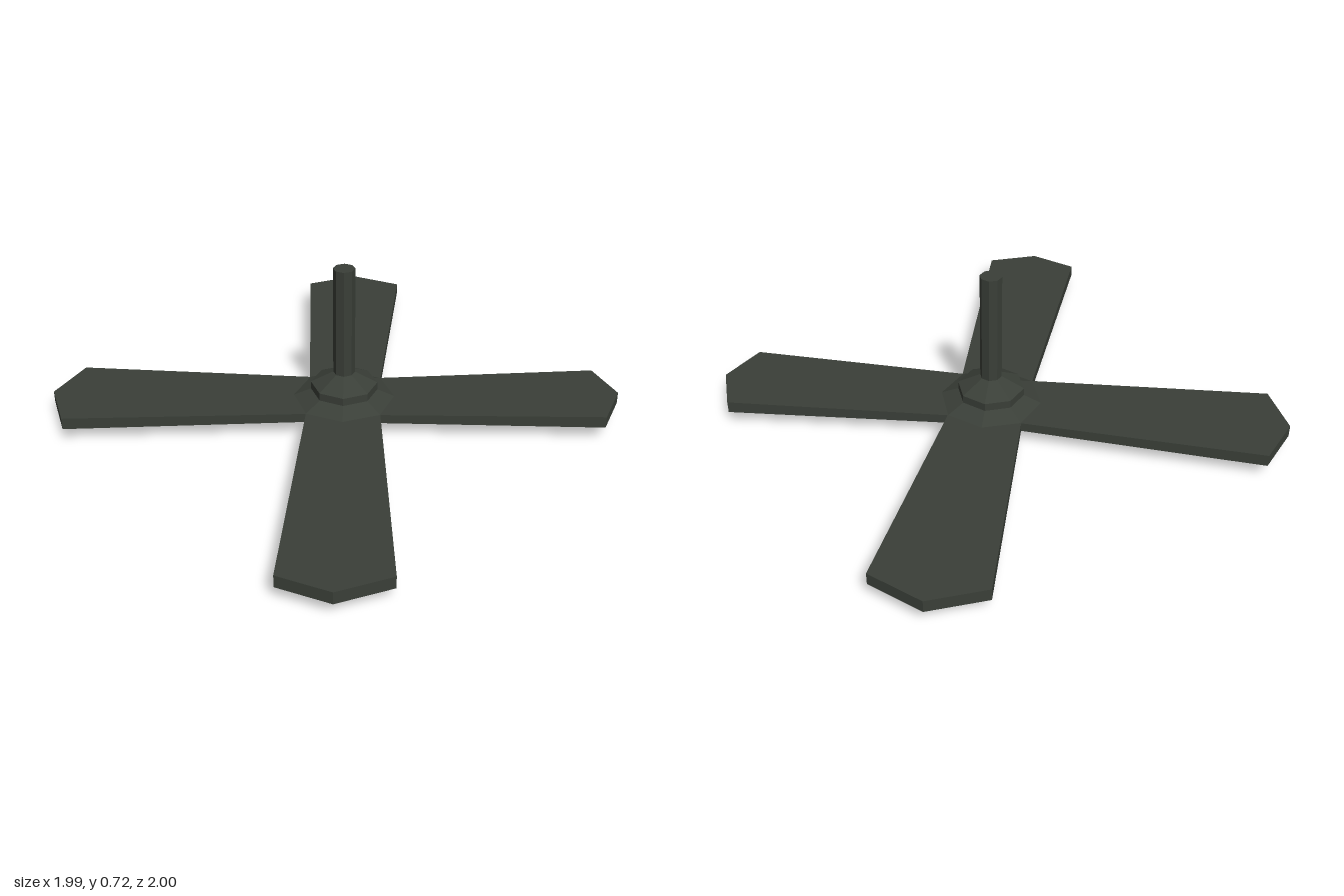
import * as THREE from 'three';

const SIDES = 8;
const CX = 0.01, CZ = -0.017; // hub axis
const HUB_R = 0.225;

const material = new THREE.MeshStandardMaterial({ color: 0x3a3f38, flatShading: true });

// Faceted turned part, profile listed from bottom to top as [radius, y]
function turned(name, profile) {
  const points = profile.map(([r, y]) => new THREE.Vector2(r, y));
  const mesh = new THREE.Mesh(new THREE.LatheGeometry(points, SIDES), material);
  mesh.name = name;
  mesh.position.set(CX, 0, CZ);
  return mesh;
}

// Flat blade that widens and thickens towards a three-cornered tip
function blade(name, rootA, tip, rootB) {
  const outline = [[CX, CZ], rootA, ...tip, rootB].map(([x, z]) => new THREE.Vector2(x, z));
  const geometry = new THREE.ExtrudeGeometry(new THREE.Shape(outline), { depth: 1, bevelEnabled: false });
  geometry.rotateX(Math.PI / 2);
  const pos = geometry.attributes.position;
  for (let i = 0; i < pos.count; i++) {
    const atRoot = Math.hypot(pos.getX(i), pos.getZ(i)) < 0.3;
    const half = atRoot ? 0.02 : 0.026;
    pos.setY(i, 0.089 + (pos.getY(i) > -0.5 ? half : -half));
  }
  geometry.computeVertexNormals();
  const mesh = new THREE.Mesh(geometry, material);
  mesh.name = name;
  return mesh;
}

export function createModel() {
  const fan = new THREE.Group();
  fan.name = 'ceilingFan';

  // Motor housing, collar and hanging rod
  fan.add(turned('motorHousing', [[0, 0], [0.085, 0], [0.185, 0.035], [HUB_R, 0.07], [HUB_R, 0.108], [0.145, 0.143], [0, 0.143]]));
  fan.add(turned('collar', [[0, 0.142], [0.145, 0.142], [0.145, 0.178], [0.047, 0.23], [0, 0.23]]));
  fan.add(turned('hangingRod', [[0.047, 0.2], [0.047, 0.72], [0, 0.72]]));

  // Blade roots meet at the four corners of the housing
  const back = [CX, CZ - HUB_R], left = [CX + HUB_R, CZ], front = [CX, CZ + HUB_R], right = [CX - HUB_R, CZ];
  fan.add(blade('bladeBackRight', right, [[-1, -0.69], [-0.905, -0.91], [-0.685, -1]], back));
  fan.add(blade('bladeBackLeft', back, [[0.665, -0.97], [0.895, -0.88], [0.99, -0.65]], left));
  fan.add(blade('bladeFrontLeft', left, [[0.975, 0.6], [0.895, 0.8], [0.69, 0.885]], front));
  fan.add(blade('bladeFrontRight', front, [[-0.695, 0.995], [-0.91, 0.905], [-1, 0.7]], right));

  return fan;
}
